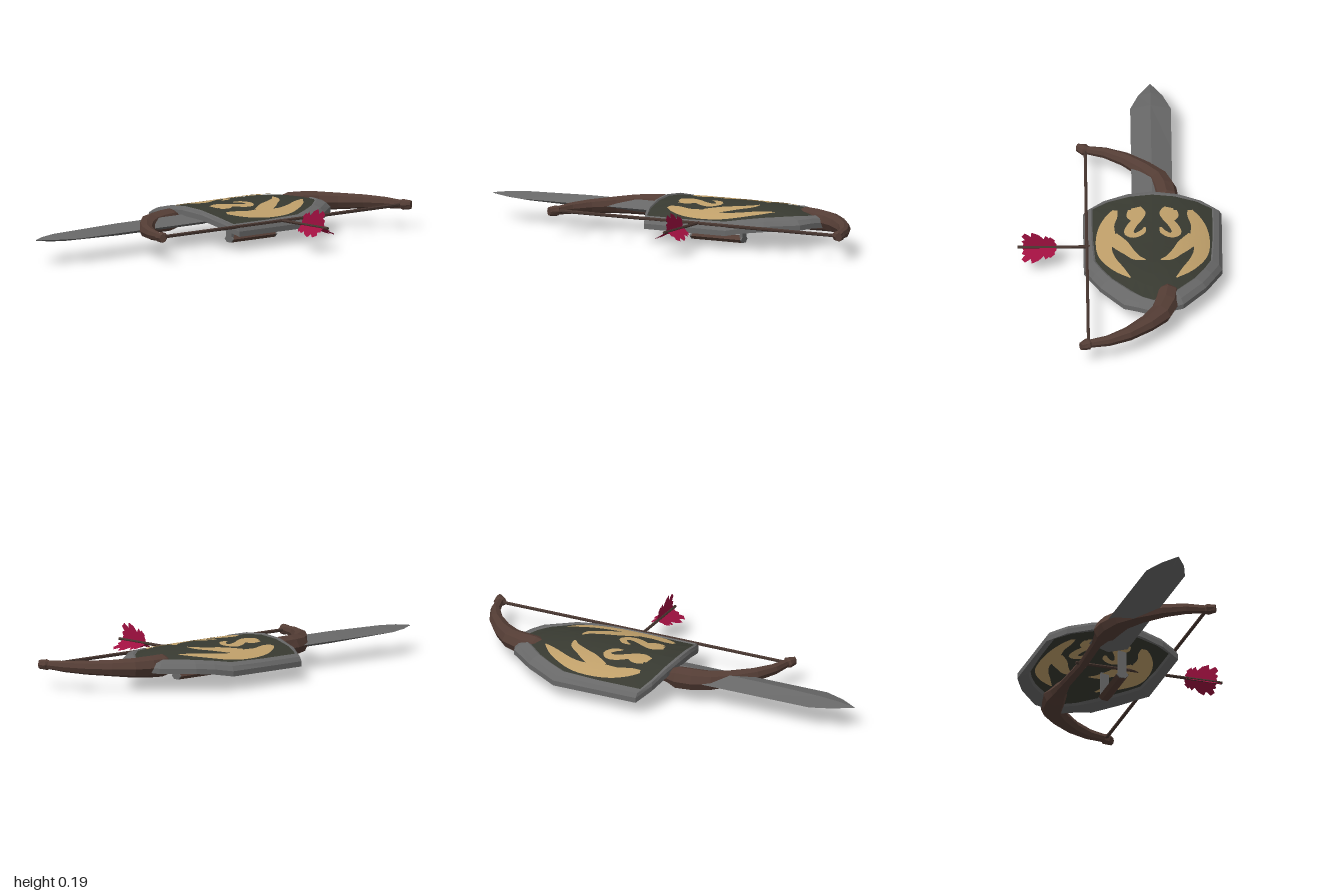
import * as THREE from 'three';

const CX = -0.15;   // centre line of shield and blade
const BOW_Z = -0.23; // mirror plane of the bow
const mat = (name, color, side = THREE.FrontSide) => {
  const m = new THREE.MeshStandardMaterial({ color, side, flatShading: true });
  m.name = name;
  return m;
};

// Skin closed rings of equal length with flat faces
function skin(rings) {
  const pos = [];
  const tri = (a, b, c) => {
    const n = b.clone().sub(a).cross(c.clone().sub(a));
    if (n.lengthSq() > 1e-16) for (const p of [a, b, c]) pos.push(p.x, p.y, p.z);
  };
  for (let i = 0; i < rings.length - 1; i++) {
    const count = rings[i].length;
    for (let j = 0; j < count; j++) {
      const k = (j + 1) % count;
      tri(rings[i][j], rings[i][k], rings[i + 1][j]);
      tri(rings[i][k], rings[i + 1][k], rings[i + 1][j]);
    }
  }
  const g = new THREE.BufferGeometry();
  g.setAttribute('position', new THREE.Float32BufferAttribute(pos, 3));
  g.computeVertexNormals();
  return g;
}

// Loft elliptical sections [x, z, halfWidth, halfHeight] along a level path
function loft(path, y, sides) {
  const rings = path.map(([x, z, w, h], i) => {
    const a = path[Math.max(0, i - 1)], b = path[Math.min(path.length - 1, i + 1)];
    const t = new THREE.Vector2(b[0] - a[0], b[1] - a[1]).normalize();
    return Array.from({ length: sides }, (_, j) => {
      const c = Math.cos(j / sides * Math.PI * 2) * w, s = Math.sin(j / sides * Math.PI * 2) * h;
      return new THREE.Vector3(x + t.y * c, y + s, z - t.x * c);
    });
  });
  const cap = ([x, z]) => Array.from({ length: sides }, () => new THREE.Vector3(x, y, z));
  return skin([cap(path[0]), ...rings, cap(path[path.length - 1])]);
}

// Domed shield surface: d is the distance from the centre line
const dome = (d, z) =>
  0.17 - 0.07 * (d / 0.315) ** 2 - 0.05 * (Math.max(0, -0.4 - z) / 0.32) ** 2;

const mirrorOutline = half =>
  [...half, ...half.slice(1, -1).reverse().map(([d, z]) => [-d, z])];
const outer = mirrorOutline([[0, -0.72], [0.07, -0.695], [0.135, -0.67], [0.24, -0.54], [0.28, -0.46],
  [0.315, -0.38], [0.315, -0.17], [0.315, 0.04], [0.23, 0.08], [0.12, 0.1], [0, 0.11]]);
const inner = mirrorOutline([[0, -0.665], [0.05, -0.645], [0.1, -0.605], [0.185, -0.51], [0.23, -0.43],
  [0.262, -0.35], [0.272, -0.17], [0.272, 0.045], [0.2, 0.068], [0.1, 0.08], [0, 0.085]]);
const onDome = (points, dy) => points.map(([d, z]) => new THREE.Vector3(CX + d, dome(d, z) + dy, z));
const scaled = s => inner.map(([d, z]) => [d * s, -0.27 + (z + 0.27) * s]);
const between = t => inner.map(([d, z], i) =>
  [d + (outer[i][0] - d) * t, z + (outer[i][1] - z) * t]);

// Thin painted ribbon [d, z, halfWidth] laid on the dome
function ribbon(points, side, dy) {
  const curve = new THREE.CatmullRomCurve3(points.map(p => new THREE.Vector3(...p)));
  const n = 24, cols = 4, pos = [], idx = [];
  for (let i = 0; i <= n; i++) {
    const p = curve.getPoint(i / n), t = curve.getTangent(i / n);
    const len = Math.hypot(t.x, t.y) || 1;
    for (let c = 0; c <= cols; c++) {
      const o = (c / cols * 2 - 1) * Math.max(p.z, 0.002);
      const d = p.x - t.y / len * o, z = p.y + t.x / len * o;
      pos.push(CX + side * d, dome(d, z) + dy, z);
      if (i < n && c < cols) {
        const a = i * (cols + 1) + c, b = a + cols + 1;
        idx.push(a, b, a + 1, a + 1, b, b + 1);
      }
    }
  }
  const g = new THREE.BufferGeometry();
  g.setAttribute('position', new THREE.Float32BufferAttribute(pos, 3));
  g.setIndex(idx);
  g.computeVertexNormals();
  return g;
}

export function createModel() {
  const model = new THREE.Group();
  const steel = mat('steel grey', 0x686868);
  const panel = mat('dark olive', 0x383a31);
  const gold = mat('pale gold', 0xc0a06a, THREE.DoubleSide);
  const wood = mat('brown wood', 0x543d35);
  const cord = mat('dark brown cord', 0x46352f);
  const feather = mat('crimson feather', 0xa01040, THREE.DoubleSide);
  const add = (name, geometry, material, parent = model) => {
    const m = new THREE.Mesh(geometry, material);
    m.name = name;
    parent.add(m);
    return m;
  };
  const group = name => {
    const g = new THREE.Group();
    g.name = name;
    model.add(g);
    return g;
  };

  // Shield: panel on both faces inside a raised rim
  const shield = group('shield');
  const steps = [0, 0.2, 0.4, 0.6, 0.8, 1];
  add('shieldFace', skin(steps.map(s => onDome(scaled(s), -0.003))), panel, shield);
  add('shieldBack', skin([...steps].reverse().map(s => onDome(scaled(s), -0.028))), panel, shield);
  add('shieldRim', skin([
    onDome(inner, -0.003), onDome(between(0.15), 0.004), onDome(between(0.7), 0.002),
    onDome(outer, -0.012), onDome(outer, -0.036), onDome(between(0.15), -0.036), onDome(inner, -0.028),
  ]), steel, shield);

  // Emblem: a mirrored pair of wings and curled necks on both faces
  const strokes = {
    outerWing: [[0.105, -0.525, 0.003], [0.15, -0.465, 0.02], [0.195, -0.385, 0.028], [0.22, -0.3, 0.034],
      [0.215, -0.2, 0.044], [0.21, -0.12, 0.036], [0.185, -0.05, 0.028], [0.17, -0.01, 0.012]],
    innerWing: [[0.035, -0.41, 0.004], [0.075, -0.39, 0.018], [0.11, -0.34, 0.025],
      [0.145, -0.28, 0.034], [0.19, -0.2, 0.03]],
    neck: [[0.035, -0.165, 0.005], [0.048, -0.2, 0.015], [0.083, -0.222, 0.017], [0.108, -0.195, 0.022],
      [0.095, -0.145, 0.023], [0.068, -0.1, 0.022], [0.065, -0.06, 0.034], [0.075, -0.012, 0.022]],
    body: [[0.085, -0.11, 0.01], [0.098, -0.07, 0.02], [0.09, -0.03, 0.022]],
  };
  for (const [name, points] of Object.entries(strokes))
    for (const side of [1, -1])
      for (const dy of [0.001, -0.034]) add(name, ribbon(points, side, dy), gold, shield);

  // Sword blade with a diamond section
  add('swordBlade', loft([[CX, -0.02, 0.0925, 0.028], [CX, 0.5, 0.0925, 0.028], [CX, 0.81, 0.0925, 0.021],
    [CX, 0.91, 0.055, 0.014], [CX, 0.995, 0.002, 0.002]], 0.11, 4), steel);

  // Bow: one limb mirrored about the grip
  const bow = group('bow');
  const limb = [[-0.2, -0.23, 0.022, 0.02], [-0.21, 0, 0.025, 0.02], [-0.212, 0.09, 0.04, 0.035],
    [-0.215, 0.13, 0.055, 0.052], [-0.205, 0.2, 0.058, 0.05], [-0.18, 0.275, 0.052, 0.045],
    [-0.12, 0.35, 0.042, 0.038], [-0.03, 0.43, 0.032, 0.032], [0.06, 0.48, 0.023, 0.026],
    [0.14, 0.5, 0.018, 0.02], [0.152, 0.503, 0.03, 0.025], [0.185, 0.522, 0.015, 0.02]];
  add('frontLimb', loft(limb, 0.109, 8), wood, bow);
  add('backLimb', loft(limb.map(([x, z, w, h]) => [x, 2 * BOW_Z - z, w, h]), 0.109, 8), wood, bow);
  const string = add('bowString', new THREE.CylinderGeometry(0.008, 0.008, 1.46, 6), cord, bow);
  string.rotation.x = Math.PI / 2;
  string.position.set(0.15, 0.109, BOW_Z);

  // Arrow with three ragged vanes
  const arrow = group('arrow');
  arrow.position.set(0, 0.11, BOW_Z);
  const shaft = add('arrowShaft', new THREE.CylinderGeometry(0.007, 0.007, 0.7, 6), cord, arrow);
  shaft.rotation.z = Math.PI / 2;
  shaft.position.x = 0.115;
  const vane = new THREE.Shape([[0.29, 0], [0.288, 0.015], [0.298, 0.03], [0.294, 0.036], [0.318, 0.056],
    [0.322, 0.048], [0.338, 0.063], [0.346, 0.045], [0.37, 0.068], [0.402, 0.082], [0.404, 0.058],
    [0.432, 0.077], [0.447, 0.06], [0.432, 0.04], [0.446, 0.034], [0.438, 0.018], [0.444, 0]]
    .map(p => new THREE.Vector2(...p)));
  for (let i = 0; i < 3; i++)
    add('arrowVane', new THREE.ShapeGeometry(vane), feather, arrow).rotation.x = i * Math.PI * 2 / 3;

  // Shield handle: grip bar, end caps and posts
  const handle = group('handle');
  const hx = -0.057;
  const bar = (name, z, length, material) => {
    const m = add(name, new THREE.CylinderGeometry(0.029, 0.029, length, 6)
      .rotateY(Math.PI / 2).rotateX(Math.PI / 2).scale(1, 0.6, 1), material, handle);
    m.position.set(hx, 0.0151, z);
  };
  bar('gripBar', -0.225, 0.256, wood);
  for (const z of [-0.095, -0.355]) {
    bar('gripCap', z, 0.008, steel);
    add('handlePost', new THREE.BoxGeometry(0.038, 0.115, 0.014), steel, handle)
      .position.set(hx, 0.0785, z + (z > -0.2 ? -0.003 : 0.003));
  }
  return model;
}
